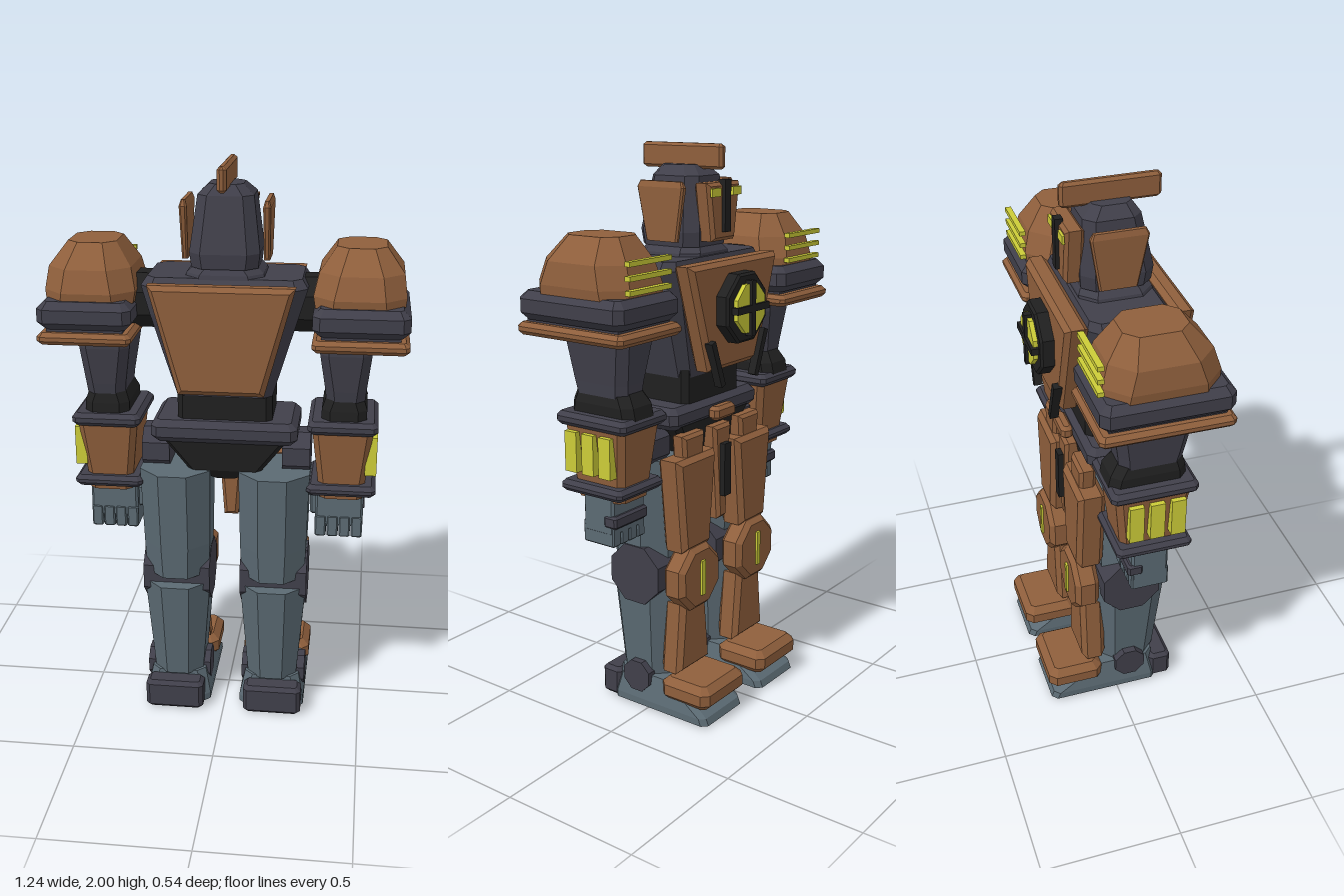
import * as THREE from 'three';

const mat = (name, color) => Object.assign(new THREE.MeshStandardMaterial({ color, flatShading: true }), { name });

// Loft of chamfered rectangles; each level is [y, x0, x1, z0, z1, chamfer]
function loft(levels) {
  const rings = levels.map(([y, x0, x1, z0, z1, c]) => [
    [x1 - c, y, z0], [x1, y, z0 + c], [x1, y, z1 - c], [x1 - c, y, z1],
    [x0 + c, y, z1], [x0, y, z1 - c], [x0, y, z0 + c], [x0 + c, y, z0]]);
  const pos = [];
  const tri = (a, b, c) => pos.push(...a, ...b, ...c);
  for (let k = 0; k + 1 < rings.length; k++) {
    const lo = rings[k], hi = rings[k + 1];
    for (let i = 0; i < 8; i++) {
      const j = (i + 1) % 8;
      tri(lo[i], hi[i], lo[j]);
      tri(lo[j], hi[i], hi[j]);
    }
  }
  const bot = rings[0], top = rings[rings.length - 1];
  for (let i = 1; i < 7; i++) {
    tri(bot[0], bot[i], bot[i + 1]);
    tri(top[0], top[i + 1], top[i]);
  }
  const g = new THREE.BufferGeometry();
  g.setAttribute('position', new THREE.Float32BufferAttribute(pos, 3));
  return g;
}

// Box with bevelled edges
const block = (x0, x1, y0, y1, z0, z1, b = 0.015) => loft([
  [y0, x0 + b, x1 - b, z0 + b, z1 - b, b * 0.5], [y0 + b, x0, x1, z0, z1, b],
  [y1 - b, x0, x1, z0, z1, b], [y1, x0 + b, x1 - b, z0 + b, z1 - b, b * 0.5]]);

const box = (x0, x1, y0, y1, z0, z1) =>
  new THREE.BoxGeometry(x1 - x0, y1 - y0, z1 - z0).translate((x0 + x1) / 2, (y0 + y1) / 2, (z0 + z1) / 2);

// Bevelled plate from an outline in x,y, between two z values
function plate(points, z0, z1, b = 0.012) {
  return new THREE.ExtrudeGeometry(new THREE.Shape(points.map(p => new THREE.Vector2(...p))), {
    depth: z1 - z0 - 2 * b, bevelEnabled: b > 0, bevelThickness: b, bevelSize: b, bevelOffset: -b, bevelSegments: 1
  }).translate(0, 0, z0 + b);
}

const trapezoid = (cx, y0, w0, y1, w1) => [[cx - w0, y0], [cx + w0, y0], [cx + w1, y1], [cx - w1, y1]];

const octagon = (cx, cy, r) => Array.from({ length: 8 }, (_, i) => {
  const a = (i + 0.5) * Math.PI / 4;
  return [cx + r * Math.cos(a), cy + r * Math.sin(a)];
});

// Octagonal joint along x
const joint = (x0, x1, y, z, r) => new THREE.CylinderGeometry(r, r, x1 - x0, 8)
  .rotateY(Math.PI / 8).rotateZ(Math.PI / 2).translate((x0 + x1) / 2, y, z);

// Mirror across x and restore the winding
function mirrored(geo) {
  const g = (geo.index ? geo.toNonIndexed() : geo.clone()).scale(-1, 1, 1);
  const p = g.attributes.position;
  for (let i = 0; i < p.count; i += 3) {
    const b = [p.getX(i + 1), p.getY(i + 1), p.getZ(i + 1)];
    p.setXYZ(i + 1, p.getX(i + 2), p.getY(i + 2), p.getZ(i + 2));
    p.setXYZ(i + 2, ...b);
  }
  return g;
}

export function createModel() {
  const brown = mat('rust brown', 0x8f5f3c), dark = mat('dark slate', 0x403f4a), grey = mat('steel grey', 0x5b6a73);
  const black = mat('black', 0x202020), yellow = mat('yellow', 0xcccc38);
  const root = new THREE.Group();
  root.name = 'robot';

  const add = (name, geo, m) => {
    const g = geo.index ? geo.toNonIndexed() : geo;
    g.clearGroups();
    g.computeVertexNormals();
    const mesh = new THREE.Mesh(g, m);
    mesh.name = name;
    root.add(mesh);
  };
  const pair = (name, geo, m) => {
    add(name + 'Left', geo, m);
    add(name + 'Right', mirrored(geo), m);
  };

  // Head
  add('neck', loft([[1.6, -0.14, 0.14, -0.08, 0.18, 0.05], [1.64, -0.13, 0.13, -0.08, 0.17, 0.05],
    [1.69, -0.08, 0.08, -0.05, 0.14, 0.04]]), dark);
  add('helmet', loft([[1.66, -0.112, 0.112, -0.07, 0.17, 0.04], [1.71, -0.118, 0.118, -0.075, 0.175, 0.04],
    [1.895, -0.094, 0.094, -0.06, 0.135, 0.035], [1.93, -0.058, 0.058, -0.02, 0.11, 0.025]]), dark);
  add('crest', block(-0.016, 0.016, 1.915, 2, -0.12, 0.22, 0.01), brown);
  pair('earPlate', loft([[1.68, 0.128, 0.148, -0.03, 0.1, 0.006], [1.86, 0.126, 0.152, -0.06, 0.135, 0.006],
    [1.88, 0.132, 0.146, -0.05, 0.125, 0.004]]), brown);
  add('facePlate', plate(trapezoid(0, 1.68, 0.065, 1.875, 0.094), -0.125, -0.06), brown);
  pair('eye', box(0.035, 0.085, 1.83, 1.858, -0.134, -0.125), yellow);
  add('faceSlot', box(-0.017, 0.017, 1.71, 1.885, -0.138, -0.11), black);

  // Torso
  add('chest', loft([[1.22, -0.165, 0.165, -0.08, 0.17, 0.03], [1.5, -0.25, 0.25, -0.1, 0.2, 0.04],
    [1.6, -0.28, 0.28, -0.1, 0.195, 0.04], [1.63, -0.26, 0.26, -0.09, 0.17, 0.03]]), dark);
  add('frontPlate', plate(trapezoid(0, 1.25, 0.145, 1.62, 0.245), 0.195, 0.265, 0.018), brown);
  add('backPlate', plate(trapezoid(0, 1.25, 0.145, 1.62, 0.26), -0.175, -0.095, 0.018), brown);
  pair('slantedStrip', new THREE.BoxGeometry(0.024, 0.17, 0.03).rotateZ(-0.36).translate(0.13, 1.28, -0.18), black);
  add('abdomen', block(-0.165, 0.165, 1.1, 1.27, -0.08, 0.15, 0.02), black);
  add('belt', block(-0.255, 0.255, 1.05, 1.13, -0.1, 0.19, 0.022), dark);
  add('pelvis', loft([[0.9, -0.04, 0.04, -0.05, 0.12, 0.01], [0.94, -0.13, 0.13, -0.07, 0.15, 0.02],
    [1.06, -0.22, 0.22, -0.09, 0.17, 0.02]]), black);

  // Round vent: base, raised disc and crossed bars
  add('ventBase', plate(octagon(0, 1.46, 0.128), -0.222, -0.165, 0.008), black);
  add('ventDisc', plate(octagon(0, 1.46, 0.09), -0.238, -0.215, 0), yellow);
  add('ventBarUpright', box(-0.012, 0.012, 1.365, 1.555, -0.248, -0.22), black);
  add('ventBarLevel', box(-0.095, 0.095, 1.448, 1.472, -0.248, -0.22), black);

  // Centre guard
  add('centreGuard', plate(trapezoid(0, 0.68, 0.026, 1.03, 0.052), -0.125, -0.06), brown);
  add('beltClasp', block(-0.06, 0.06, 1.055, 1.105, -0.14, -0.095, 0.012), brown);
  add('guardStrip', box(-0.02, 0.02, 0.77, 0.965, -0.145, -0.12), black);

  // Shoulders
  pair('shoulderJoint', joint(0.2, 0.4, 1.53, 0.04, 0.102), black);
  pair('shoulderDome', loft([[1.54, 0.305, 0.6, -0.14, 0.23, 0.06], [1.58, 0.298, 0.605, -0.145, 0.235, 0.07],
    [1.655, 0.315, 0.595, -0.125, 0.21, 0.07], [1.735, 0.37, 0.535, -0.07, 0.14, 0.04]]), brown);
  pair('shoulderBand', block(0.3, 0.62, 1.46, 1.555, -0.17, 0.265, 0.025), dark);
  pair('shoulderRim', block(0.3, 0.62, 1.41, 1.452, -0.175, 0.268, 0.014), brown);
  pair('shoulderCore', box(0.33, 0.59, 1.44, 1.47, -0.14, 0.24), dark);
  for (const y of [1.575, 1.62, 1.665]) pair('shoulderStripe', box(0.35, 0.56, y - 0.008, y + 0.008, -0.166, -0.145), yellow);

  // Arms
  pair('upperArm', loft([[1.2, 0.35, 0.48, -0.06, 0.155, 0.03], [1.25, 0.345, 0.485, -0.065, 0.165, 0.03],
    [1.38, 0.325, 0.5, -0.085, 0.185, 0.03], [1.42, 0.325, 0.5, -0.085, 0.185, 0.03]]), dark);
  pair('elbow', loft([[1.13, 0.335, 0.49, -0.1, 0.17, 0.03], [1.18, 0.335, 0.49, -0.09, 0.165, 0.03],
    [1.225, 0.35, 0.475, -0.06, 0.155, 0.03]]), black);
  pair('upperCuff', block(0.29, 0.53, 1.1, 1.147, -0.105, 0.195, 0.015), dark);
  pair('forearm', loft([[0.85, 0.335, 0.485, -0.055, 0.145, 0.02], [1.11, 0.305, 0.515, -0.085, 0.175, 0.02]]), brown);
  for (const z of [-0.02, 0.052, 0.125]) pair('forearmPanel', box(0.49, 0.53, 0.945, 1.085, z - 0.025, z + 0.025), yellow);
  pair('lowerCuff', block(0.29, 0.53, 0.87, 0.91, -0.085, 0.18, 0.014), dark);

  // Hands
  pair('palm', block(0.32, 0.49, 0.73, 0.87, -0.02, 0.11, 0.008), grey);
  for (let i = 0; i < 4; i++) pair('finger', block(0.32 + i * 0.043, 0.36 + i * 0.043, 0.69, 0.77, -0.02, 0.113, 0.005), grey);
  pair('thumb', block(0.3, 0.335, 0.76, 0.84, 0.01, 0.08, 0.008), grey);
  pair('knuckleBar', block(0.32, 0.495, 0.758, 0.803, -0.035, 0.02, 0.008), dark);

  // Legs
  pair('hipJoint', joint(0.2, 0.298, 0.99, 0.04, 0.085), dark);
  pair('thigh', loft([[0.53, 0.06, 0.288, -0.04, 0.195, 0.07], [0.65, 0.055, 0.292, -0.045, 0.205, 0.07],
    [0.94, 0.05, 0.3, -0.06, 0.23, 0.075]]), grey);
  pair('kneeJoint', joint(0.055, 0.297, 0.515, 0.05, 0.115), dark);
  pair('shin', loft([[0.12, 0.085, 0.265, -0.05, 0.165, 0.05], [0.495, 0.055, 0.295, -0.085, 0.205, 0.07]]), grey);
  pair('ankle', joint(0.06, 0.295, 0.115, 0.05, 0.062), dark);
  pair('foot', loft([[0.005, 0.055, 0.295, -0.26, 0.16, 0.02], [0.03, 0.055, 0.295, -0.25, 0.16, 0.02],
    [0.125, 0.075, 0.275, -0.1, 0.15, 0.03]]), grey);
  pair('heel', block(0.075, 0.288, 0, 0.11, 0.135, 0.22, 0.014), dark);

  // Leg armour
  pair('hipTab', plate(trapezoid(0.17, 0.9, 0.05, 1.035, 0.062), -0.125, -0.065), brown);
  pair('thighPlate', plate(trapezoid(0.175, 0.62, 0.078, 0.96, 0.112), -0.145, -0.045, 0.018), brown);
  pair('kneePlate', plate(octagon(0.175, 0.515, 0.126), -0.16, -0.07, 0.018), brown);
  pair('kneeStripe', box(0.165, 0.185, 0.45, 0.58, -0.168, -0.155), yellow);
  pair('shinPlate', plate(trapezoid(0.175, 0.16, 0.095, 0.42, 0.07), -0.13, -0.04, 0.018), brown);
  pair('toeCap', block(0.05, 0.302, 0.06, 0.15, -0.268, -0.06, 0.025), brown);

  return root;
}
